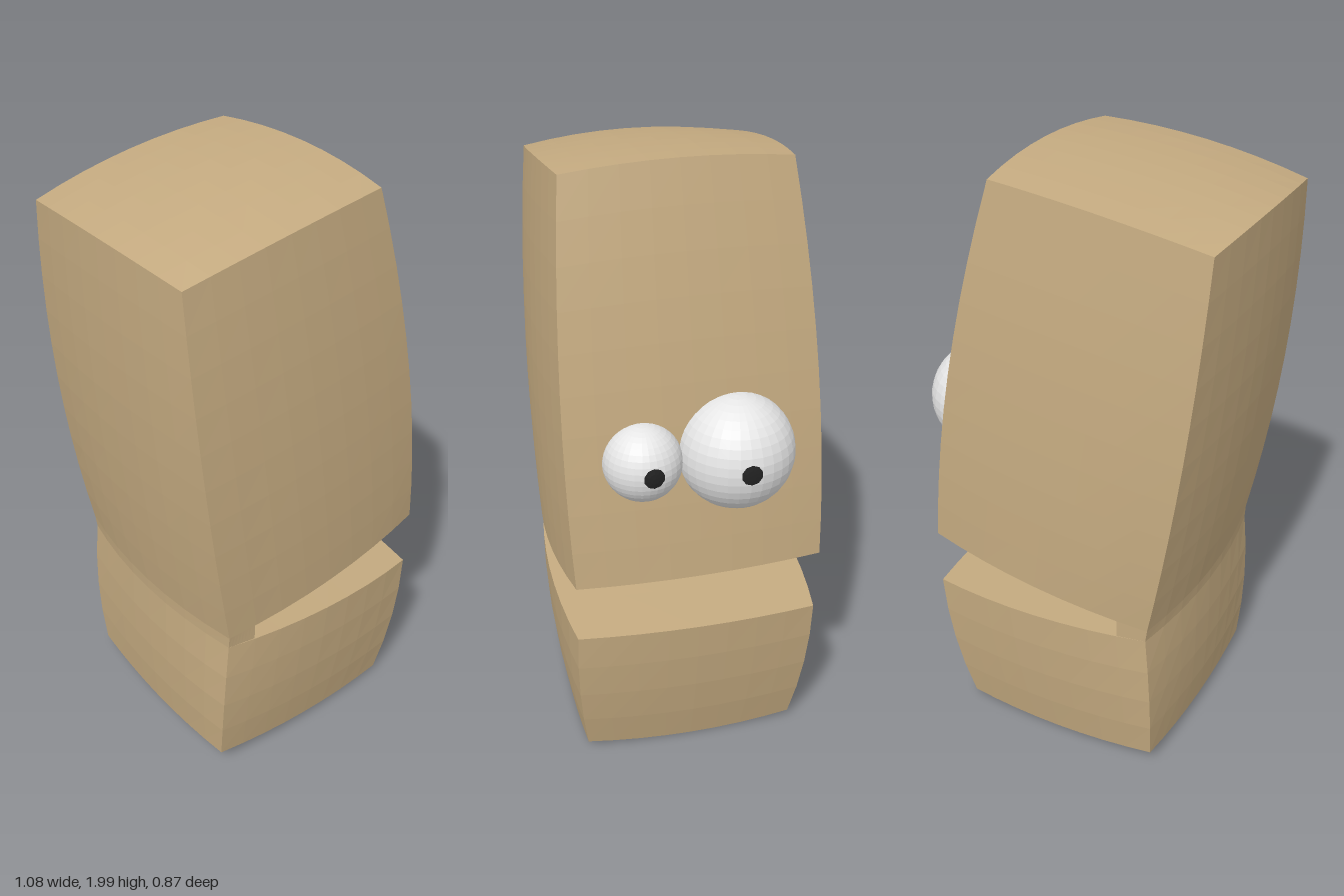
import * as THREE from 'three';

const lerp = THREE.MathUtils.lerp;

function material(name, color) {
  const m = new THREE.MeshStandardMaterial({ color, flatShading: true });
  m.name = name;
  return m;
}

// A box stretched between four lower and four upper corners, with swollen faces.
// Corner order: back right, front right, back left, front left (front is +x here).
// Swellings are [lower, upper] pairs; belly is the extra swelling at half height.
function bulgedBlock(name, mat, o) {
  const geo = new THREE.BoxGeometry(2, 2, 2, 8, o.rows, 8);
  const pos = geo.attributes.position;
  const level = (c, u, v, k) => lerp(
    lerp(c[0][k], c[1][k], (u + 1) / 2),
    lerp(c[2][k], c[3][k], (u + 1) / 2), (v + 1) / 2);
  for (let i = 0; i < pos.count; i++) {
    const u = pos.getX(i), t = pos.getY(i), v = pos.getZ(i);
    const h = (t + 1) / 2;
    const [x, y, z] = [0, 1, 2].map(k => lerp(level(o.lower, u, v, k), level(o.upper, u, v, k), h));
    const round = s => 1 - s * s;
    const face = u < 0 ? o.backSwell : o.frontSwell;
    const dx = u * (o.bellyX * round(t) + lerp(face[0], face[1], h) * round(v));
    const dz = v * (o.bellyZ * round(t) + lerp(o.sideSwell[0], o.sideSwell[1], h) * round(u));
    const dome = 0.017 * round(u) + 0.025 * round(v);
    const dy = dome * (h * o.domeTop - (1 - h) * o.domeBottom);
    pos.setXYZ(i, x + dx, y + dy, z + dz);
  }
  geo.computeVertexNormals();
  const mesh = new THREE.Mesh(geo, mat);
  mesh.name = name;
  return mesh;
}

// Eyeball with a thin pupil cap lying on its front
function eye(name, r, center, pupilSize, turn, white, black) {
  const group = new THREE.Group();
  group.name = name;
  const ball = new THREE.Mesh(new THREE.SphereGeometry(r, 32, 20), white);
  ball.name = 'eyeball';
  const cap = new THREE.SphereGeometry(r + 0.003, 10, 2, 0, Math.PI * 2, 0, pupilSize / r);
  cap.rotateZ(-Math.PI / 2 + 0.04);
  cap.rotateY(turn);
  const pupil = new THREE.Mesh(cap, black);
  pupil.name = 'pupil';
  group.add(ball, pupil);
  group.position.set(...center);
  return group;
}

export function createModel() {
  const model = new THREE.Group();
  model.name = 'blockHead';
  const tan = material('tan', 0xc4aa80);
  const white = material('eyeWhite', 0xe6e6e6);
  const black = material('pupilBlack', 0x222222);

  // Tall upper head, leaning back
  model.add(bulgedBlock('upperHead', tan, {
    rows: 10,
    lower: [[-0.39, 0.625, -0.385], [0.385, 0.74, -0.41], [-0.385, 0.625, 0.395], [0.40, 0.73, 0.385]],
    upper: [[-0.52, 1.89, -0.32], [0.165, 1.98, -0.335], [-0.505, 1.88, 0.375], [0.183, 1.97, 0.36]],
    bellyX: 0.028, bellyZ: 0.025,
    backSwell: [0.042, 0.025], frontSwell: [0.025, 0.016], sideSwell: [0.034, 0.02],
    domeTop: 1, domeBottom: 0,
  }));

  // Lower jaw with a flat top
  model.add(bulgedBlock('lowerJaw', tan, {
    rows: 4,
    lower: [[-0.40, 0.068, -0.355], [0.31, 0.028, -0.36], [-0.40, 0.068, 0.36], [0.315, 0.03, 0.355]],
    upper: [[-0.385, 0.582, -0.385], [0.39, 0.535, -0.40], [-0.385, 0.582, 0.39], [0.39, 0.53, 0.385]],
    bellyX: 0.012, bellyZ: 0.012,
    backSwell: [0.012, 0.042], frontSwell: [0.012, 0.025], sideSwell: [0.016, 0.036],
    domeTop: 0, domeBottom: 0.75,
  }));

  // Narrow strip joining both halves at the back of the mouth
  model.add(bulgedBlock('mouthHinge', tan, {
    rows: 1,
    lower: [[-0.385, 0.582, -0.385], [-0.29, 0.573, -0.40], [-0.385, 0.582, 0.39], [-0.29, 0.573, 0.402]],
    upper: [[-0.39, 0.625, -0.385], [-0.29, 0.641, -0.40], [-0.385, 0.625, 0.395], [-0.29, 0.641, 0.405]],
    bellyX: 0, bellyZ: 0,
    backSwell: [0.042, 0.042], frontSwell: [0, 0], sideSwell: [0, 0],
    domeTop: 0, domeBottom: 0,
  }));

  // Mismatched eyes
  model.add(eye('largeEye', 0.182, [0.355, 1.142, -0.127], 0.032, 0, white, black));
  model.add(eye('smallEye', 0.122, [0.363, 1.139, 0.165], 0.032, 0.1, white, black));
  return model;
}
